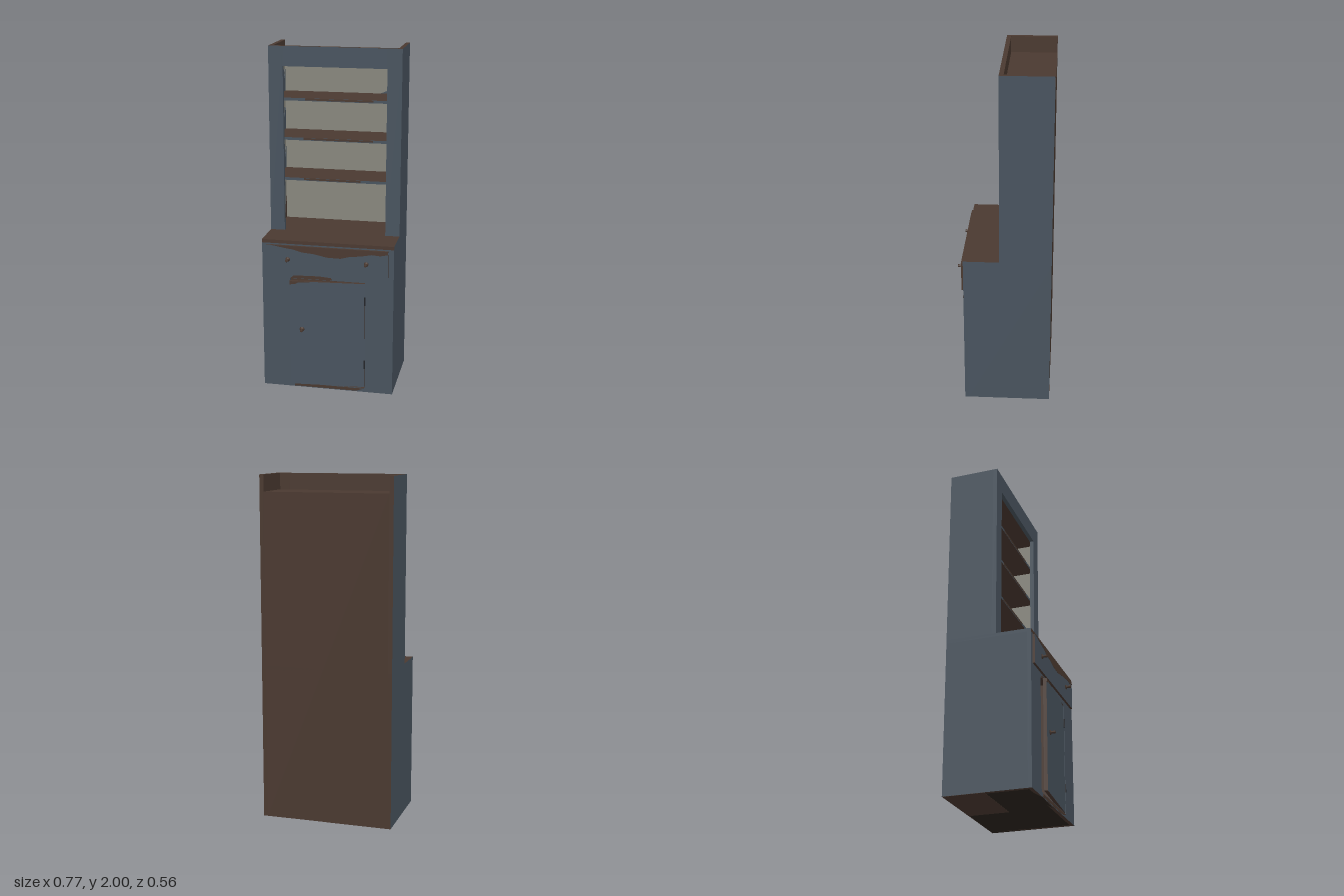
import * as THREE from 'three';

const mat = (name, color) => Object.assign(new THREE.MeshStandardMaterial({ color }), { name });

export function createModel() {
  const cabinet = new THREE.Group();
  cabinet.name = 'hutchCupboard';

  const M = {
    B: mat('bluePaint', 0x48535e),
    W: mat('brownWood', 0x4a3930),
    C: mat('creamInterior', 0x87867d),
    D: mat('darkUnderside', 0x2b231e),
    I: mat('hingeIron', 0x24262a),
  };

  // Box from min/max ranges; faces lists materials for +x -x +y -y +z -z
  const box = (name, [x0, x1], [y0, y1], [z0, z1], faces, parent = cabinet) => {
    const g = new THREE.BoxGeometry(x1 - x0, y1 - y0, z1 - z0);
    const m = new THREE.Mesh(g, faces.length === 1 ? M[faces] : [...faces].map(f => M[f]));
    m.position.set((x0 + x1) / 2, (y0 + y1) / 2, (z0 + z1) / 2);
    m.name = name;
    parent.add(m);
    return m;
  };

  // Thin worn-paint patch, outline in x and y, lying just in front of z
  const patch = (name, pts, z, key = 'W', parent = cabinet) => {
    const shape = new THREE.Shape(pts.map(p => new THREE.Vector2(...p)));
    const g = new THREE.ExtrudeGeometry(shape, { depth: 0.002, bevelEnabled: false });
    const m = new THREE.Mesh(g, M[key]);
    m.position.z = z - 0.0005;
    m.name = name;
    parent.add(m);
    return m;
  };

  const X = 0.387, IN = 0.363, BACK = -0.28, MID = 0.015, FRONT = 0.22;

  // Side panels, stiles and interior linings
  for (const s of [1, -1]) {
    const span = (a, b) => (s > 0 ? [a, b] : [-b, -a]);
    const outer = s > 0 ? 'BW' : 'WB';
    box('lowerSide', span(IN, X), [0, 0.89], [BACK, FRONT - 0.022], outer + 'WWBW');
    box('upperSide', span(IN, X), [0.91, 2], [BACK, -0.01], outer + 'WWBW');
    box('upperStile', span(0.3025, X), [0.91, 2], [-0.01, MID], 'BBWWBW');
    box('lowerStile', span(0.222, X), [0, 0.89], [FRONT - 0.022, FRONT], 'BBWWBW');
    box('sideLining', span(IN - 0.003, IN), [0.91, 1.885], [BACK + 0.015, -0.01], 'C');
  }

  // Back boards
  box('backPanel', [-IN, IN], [0, 1.905], [BACK, BACK + 0.012], 'W');
  box('backLining', [-IN, IN], [0.91, 1.885], [BACK + 0.012, BACK + 0.016], 'C');

  // Top, header and counter
  box('topBoard', [-IN, IN], [1.885, 1.905], [BACK + 0.012, -0.01], 'W');
  box('header', [-0.3025, 0.3025], [1.885, 2], [-0.01, MID], 'BBWBBW');
  box('counter', [-X, X], [0.89, 0.91], [BACK, FRONT], 'BBWWWW');

  // Shelves with painted front edges, worn bare in the middle
  [[1.70, -0.18, 0.22], [1.468, -0.19, 0.22], [1.227, -0.19, 0.15]].forEach(([y, a, b]) => {
    box('shelf', [-IN + 0.003, IN - 0.003], [y - 0.016, y], [BACK + 0.016, -0.012], 'WWWWBW');
    box('wornShelfEdge', [a, b], [y - 0.012, y - 0.001], [-0.0125, -0.011], 'W');
  });

  // Worn streaks in the rear corners of each compartment
  const streak = [[0, 0], [0.08, 0], [0.035, 0.03], [0.025, 0.09], [0, 0.14]];
  for (const y of [0.91, 1.227, 1.468, 1.70]) {
    for (const s of [1, -1]) {
      const p = patch('cornerWear', streak, 0, y > 1 ? 'B' : 'W');
      p.rotation.y = -Math.PI / 2;
      p.position.set(s > 0 ? IN - 0.002 : -IN + 0.0045, y, BACK + 0.016);
    }
  }
  patch('backWear', [[0.22, 1.7], [0.36, 1.7], [0.36, 1.75], [0.28, 1.725]], BACK + 0.016, 'B');

  // Lower face frame and base
  box('drawerRail', [-0.222, 0.222], [0.682, 0.89], [FRONT - 0.022, FRONT], 'BBWWBW');
  box('bottomRail', [-0.222, 0.222], [0, 0.025], [FRONT - 0.022, FRONT], 'BBWWBW');
  box('floorBoard', [-IN, IN], [0.004, 0.025], [BACK + 0.012, FRONT - 0.022], 'W');
  box('underside', [-X + 0.001, X - 0.001], [0, 0.004], [BACK + 0.001, FRONT - 0.001], 'D');
  box('undersideBoard', [-X + 0.001, 0], [-0.001, 0.003], [BACK + 0.001, -0.04], 'W');
  patch('bottomRailWear', [[-0.2, 0.004], [0.17, 0.004], [0.22, 0.021], [-0.2, 0.021]], FRONT);
  patch('railWear', [[-0.22, 0.684], [0.03, 0.684], [0.02, 0.698], [-0.05, 0.704], [-0.2, 0.7]], FRONT);

  // Turned knob, pointing along +z
  const knobProfile = [[0, 0], [0.014, 0], [0.013, 0.004], [0.006, 0.008], [0.006, 0.013],
    [0.009, 0.028], [0.008, 0.03], [0, 0.03]].map(p => new THREE.Vector2(...p));
  const knob = (name, x, y, z, parent) => {
    const m = new THREE.Mesh(new THREE.LatheGeometry(knobProfile, 14), M.W);
    m.rotation.x = Math.PI / 2;
    m.position.set(x, y, z);
    m.name = name;
    parent.add(m);
  };

  // Drawer
  const drawer = new THREE.Group();
  drawer.name = 'drawer';
  cabinet.add(drawer);
  box('drawerFront', [-0.36, 0.358], [0.71, 0.882], [FRONT, 0.233], 'WWWWBW', drawer);
  patch('drawerWear', [[-0.33, 0.882], [-0.26, 0.87], [-0.2, 0.862], [-0.15, 0.848], [-0.08, 0.842],
    [0, 0.826], [0.08, 0.824], [0.13, 0.838], [0.2, 0.846], [0.26, 0.858], [0.31, 0.854],
    [0.355, 0.864], [0.355, 0.882]], 0.233, 'W', drawer);
  for (const x of [-0.232, 0.229]) knob('drawerKnob', x, 0.8, 0.233, drawer);

  // Door, hinged on its left edge and slightly ajar
  const door = new THREE.Group();
  door.name = 'door';
  door.position.set(0.22, 0, 0.218);
  door.rotation.y = 0.08;
  cabinet.add(door);
  box('doorPanel', [-0.44, 0], [0.03, 0.675], [-0.02, 0], 'WWWWBW', door);
  patch('doorWear', [[-0.44, 0.655], [-0.405, 0.66], [-0.39, 0.668], [-0.3, 0.675], [-0.44, 0.675]], 0, 'W', door);
  knob('doorKnob', -0.368, 0.38, 0, door);

  // Hinges
  for (const y of [0.57, 0.175]) {
    const h = new THREE.Mesh(new THREE.CylinderGeometry(0.005, 0.005, 0.05, 10), M.I);
    h.position.set(0.221, y, 0.22);
    h.name = 'hinge';
    cabinet.add(h);
  }

  return cabinet;
}
